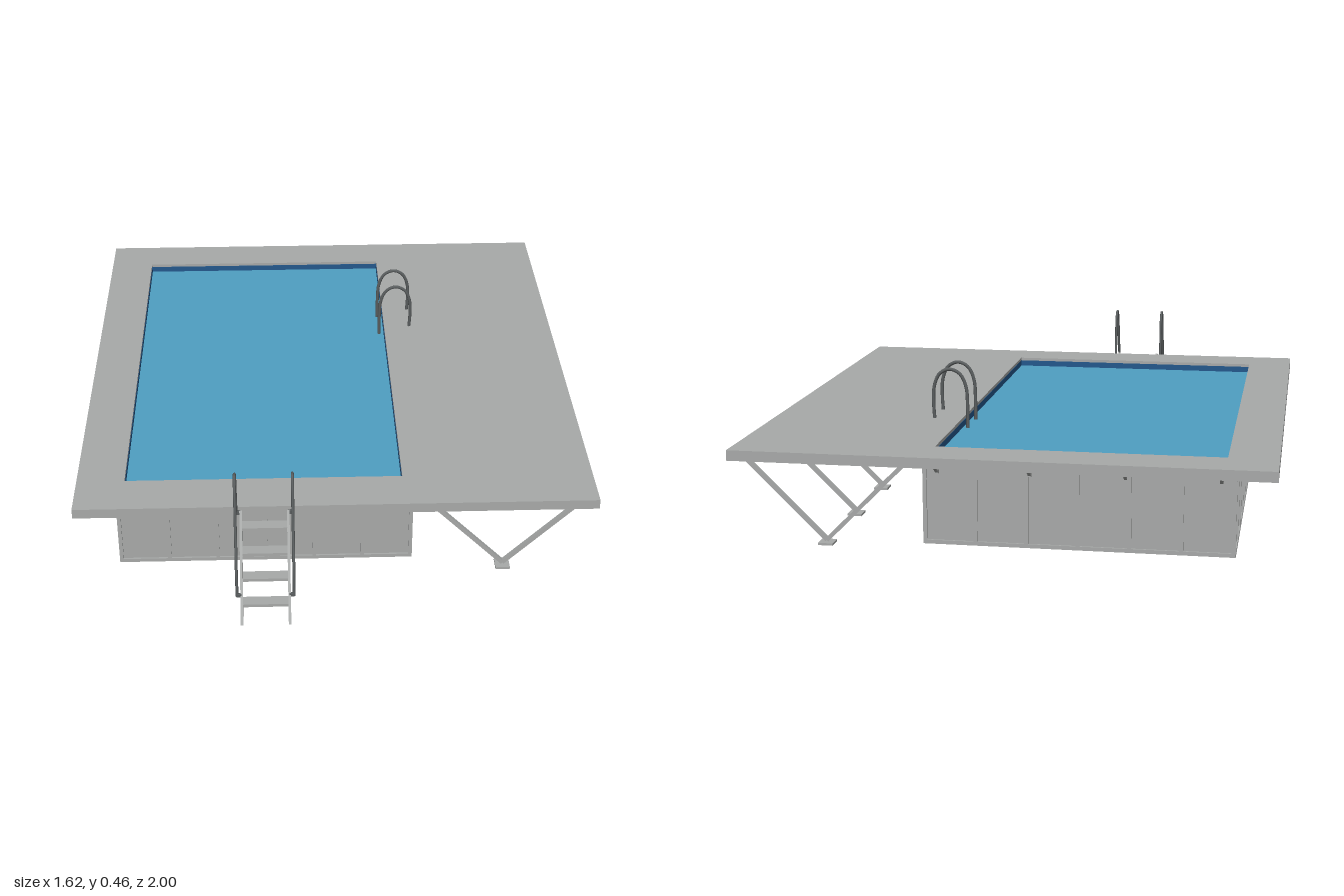
import * as THREE from 'three';

const mat = (name, color) => new THREE.MeshStandardMaterial({ name, color });

export function createModel() {
  const grey = mat('concrete grey', 0xa8aaa9);
  const steel = mat('dark steel', 0x5a5e5f);
  const blue = mat('water blue', 0x4f9fc2);
  const navy = mat('liner blue', 0x24588c);
  const model = new THREE.Group();
  model.name = 'raisedPool';

  const group = (name) => {
    const g = new THREE.Group();
    g.name = name;
    model.add(g);
    return g;
  };
  const add = (parent, name, geo, m) => {
    const mesh = new THREE.Mesh(geo, m);
    mesh.name = name;
    parent.add(mesh);
    return mesh;
  };
  // Box given by its lower and upper limits on each axis
  const box = (parent, name, x0, x1, y0, y1, z0, z1, m = grey) => {
    const b = add(parent, name, new THREE.BoxGeometry(x1 - x0, y1 - y0, z1 - z0), m);
    b.position.set((x0 + x1) / 2, (y0 + y1) / 2, (z0 + z1) / 2);
    return b;
  };
  // Square bar between two points; w is its width, d its depth
  const bar = (parent, name, a, b, w, d, m = grey) => {
    const p = new THREE.Vector3(...a), q = new THREE.Vector3(...b);
    const mesh = add(parent, name, new THREE.BoxGeometry(w, d, p.distanceTo(q)), m);
    mesh.position.copy(p).add(q).multiplyScalar(0.5);
    mesh.lookAt(q);
    return mesh;
  };
  const tube = (parent, name, pts, r, m = steel) => {
    const curve = new THREE.CatmullRomCurve3(pts.map((p) => new THREE.Vector3(...p)));
    return add(parent, name, new THREE.TubeGeometry(curve, 48, r, 8), m);
  };

  // Main limits: deck D, pool shell P, opening O
  const D = { x0: -0.81, x1: 0.81, z0: -1, z1: 0.76, under: 0.275, low: 0.263, top: 0.295 };
  const P = { x0: -0.69, x1: 0.245, z0: -0.88, z1: 0.64 };
  const O = { x0: -0.66, x1: 0.21, z0: -0.855, z1: 0.61 };

  // Deck slab with the pool opening
  const deck = group('deck');
  const outline = new THREE.Shape([
    [D.x0, -D.z1], [D.x1, -D.z1], [D.x1, -D.z0], [D.x0, -D.z0],
  ].map((p) => new THREE.Vector2(...p)));
  outline.holes.push(new THREE.Path([
    [O.x0, -O.z1], [O.x0, -O.z0], [O.x1, -O.z0], [O.x1, -O.z1],
  ].map((p) => new THREE.Vector2(...p))));
  const slab = add(deck, 'deckSlab', new THREE.ExtrudeGeometry(outline,
    { depth: D.top - D.under, bevelEnabled: false }), grey);
  slab.rotation.x = -Math.PI / 2;
  slab.position.y = D.under;

  // Rim boards and joists below the slab
  const t = 0.012;
  for (const [a, b] of [[D.x0, D.x0 + t], [D.x1 - t, D.x1]])
    box(deck, 'sideRim', a, b, D.low, D.under, D.z0, D.z1);
  for (const [a, b] of [[D.z0, D.z0 + t], [D.z1 - t, D.z1]])
    box(deck, 'endRim', D.x0 + t, D.x1 - t, D.low, D.under, a, b);
  for (let i = 0; i < 11; i++) {
    const z = 0.69 - i * 0.1615;
    box(deck, 'joist', 0.26, D.x1 - t, D.low, D.under, z - 0.008, z + 0.008);
  }

  // Pool shell: walls, floor, liner and water
  const pool = group('pool');
  for (const [a, b] of [[P.x0 + 0.006, O.x0 - 0.004], [O.x1 + 0.004, P.x1 - 0.006]])
    box(pool, 'sideWall', a, b, 0.004, D.under, P.z0 + 0.006, P.z1 - 0.006);
  for (const [a, b] of [[P.z0 + 0.006, O.z0 - 0.004], [O.z1 + 0.004, P.z1 - 0.006]])
    box(pool, 'endWall', O.x0 - 0.004, O.x1 + 0.004, 0.004, D.under, a, b);
  box(pool, 'floor', P.x0 + 0.012, P.x1 - 0.012, 0.001, 0.01, P.z0 + 0.012, P.z1 - 0.012, navy);
  for (const [a, b] of [[O.x0 - 0.004, O.x0 + 0.001], [O.x1 - 0.001, O.x1 + 0.004]])
    box(pool, 'sideLiner', a, b, 0.01, 0.285, O.z0, O.z1, navy);
  for (const [a, b] of [[O.z0 - 0.004, O.z0 + 0.001], [O.z1 - 0.001, O.z1 + 0.004]])
    box(pool, 'endLiner', O.x0, O.x1, 0.01, 0.285, a, b, navy);
  box(pool, 'water', O.x0, O.x1, 0.257, 0.265, O.z0, O.z1, blue);

  // Wall framing: rails and posts on all four sides
  const frame = group('wallFrame');
  const w = 0.012;
  for (const [y0, y1] of [[0, w], [0.253, D.low]]) {
    for (const x of [P.x0, P.x1 - w]) box(frame, 'sideRail', x, x + w, y0, y1, P.z0, P.z1);
    for (const z of [P.z0, P.z1 - w]) box(frame, 'endRail', P.x0 + w, P.x1 - w, y0, y1, z, z + w);
  }
  for (let i = 0; i <= 6; i++) {
    const x = P.x0 + (P.x1 - P.x0 - w) * i / 6;
    for (const z of [P.z0, P.z1 - w]) box(frame, 'endPost', x, x + w, w, 0.253, z, z + w);
  }
  for (let i = 1; i < 10; i++) {
    const z = P.z0 + (P.z1 - P.z0 - w) * i / 10;
    for (const x of [P.x0, P.x1 - w]) box(frame, 'sidePost', x, x + w, w, 0.253, z, z + w);
  }

  // V-shaped supports under the wide side of the deck
  const supports = group('deckSupports');
  for (let i = 0; i < 6; i++) {
    const z = 0.69 - i * 0.323;
    bar(supports, 'innerLeg', [0.28, 0.264, z], [0.53, 0.012, z], 0.013, 0.013);
    bar(supports, 'outerLeg', [0.785, 0.264, z], [0.53, 0.012, z], 0.013, 0.013);
    box(supports, 'topBar', 0.27, 0.79, 0.256, D.low, z - 0.0075, z + 0.0075);
    box(supports, 'foot', 0.507, 0.553, 0, 0.007, z - 0.024, z + 0.024);
  }

  // Diagonal brackets under the narrow sides of the deck
  const brackets = group('deckBrackets');
  const bracket = (x, z, dx, dz) => {
    bar(brackets, 'brace', [x, 0.225, z], [x + dx * 0.06, 0.264, z + dz * 0.06], 0.009, 0.009);
    box(brackets, 'bracketPlate', x - 0.005, x + 0.005, 0.22, D.low, z - 0.005, z + 0.005);
  };
  for (const x of [-0.645, -0.365, -0.08, 0.2]) {
    bracket(x, P.z1, 0, 1);
    bracket(x, P.z0, 0, -1);
  }
  for (let i = 0; i < 6; i++) bracket(P.x0, 0.59 - i * 0.284, -1, 0);

  // Entry ladder at the front
  const ladder = group('entryLadder');
  for (const [x, side] of [[-0.295, -1], [-0.15, 1]]) {
    bar(ladder, 'stringer', [x, 0.287, 0.77], [x, 0.02, 0.99], 0.008, 0.024);
    const h = x + side * 0.014;
    tube(ladder, 'handrail', [[h, 0.09, 0.938], [h, 0.18, 0.928], [h, 0.27, 0.892], [h, 0.36, 0.863],
      [h, 0.425, 0.843], [h, 0.454, 0.818], [h, 0.43, 0.789], [h, 0.36, 0.78], [h, 0.285, 0.775]], 0.0045);
    bar(ladder, 'lowerClamp', [x, 0.095, 0.938], [h, 0.095, 0.938], 0.01, 0.01, steel);
    bar(ladder, 'upperClamp', [x, 0.285, 0.775], [h, 0.285, 0.775], 0.01, 0.01, steel);
  }
  for (let i = 0; i < 4; i++) {
    const y = 0.248 - i * 0.0593, z = 0.795 + i * 0.0485;
    box(ladder, 'tread', -0.292, -0.153, y - 0.005, y + 0.005, z - 0.019, z + 0.019);
  }

  // Arched grab rails at the pool edge
  const grabRails = group('grabRails');
  for (const z of [-0.47, -0.345])
    tube(grabRails, 'grabRail', [[0.192, 0.255, z], [0.192, 0.33, z], [0.197, 0.4, z], [0.217, 0.441, z],
      [0.25, 0.455, z], [0.282, 0.44, z], [0.3, 0.4, z], [0.303, 0.34, z], [0.3, 0.29, z]], 0.0055);

  return model;
}
